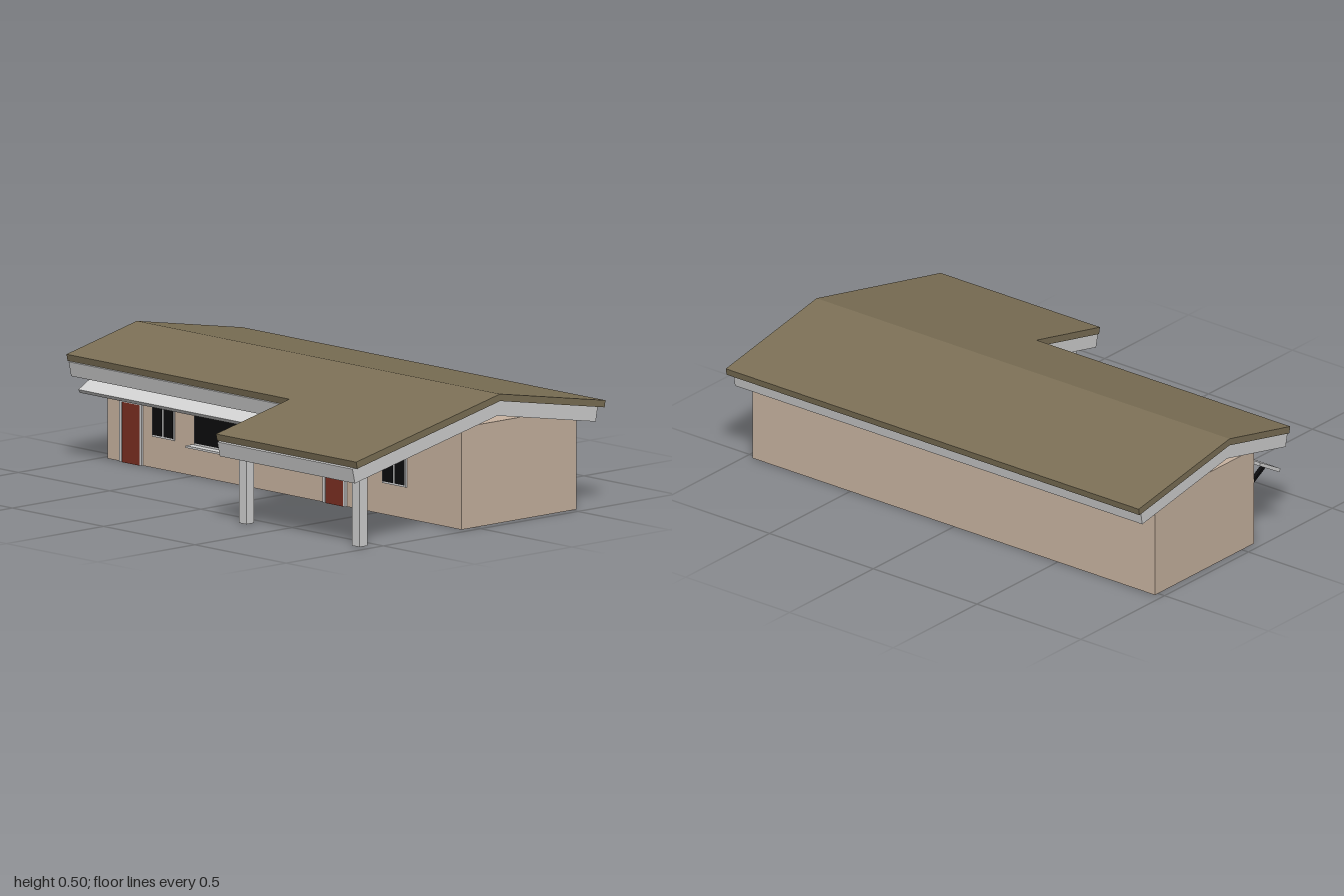
import * as THREE from 'three';

const mat = (name, color, extra = {}) => new THREE.MeshStandardMaterial({ name, color, ...extra });

export function createModel() {
  const roofMat = mat('roofBrown', 0x7c7056);
  const wallMat = mat('wallTan', 0xc9b4a1);
  const trimMat = mat('trimWhite', 0xd2d2d2);
  const doorMat = mat('doorRed', 0x7c2f22);
  const darkMat = mat('glassBlack', 0x0c0c0e);

  const model = new THREE.Group();
  model.name = 'house';

  const add = (name, geometry, material, parent = model) => {
    const mesh = new THREE.Mesh(geometry, material);
    mesh.name = name;
    parent.add(mesh);
    return mesh;
  };
  // Box given by its limits on each axis
  const box = (name, material, x, y, z, parent) => {
    const m = add(name, new THREE.BoxGeometry(x[1] - x[0], y[1] - y[0], z[1] - z[0]), material, parent);
    m.position.set((x[0] + x[1]) / 2, (y[0] + y[1]) / 2, (z[0] + z[1]) / 2);
    return m;
  };
  // Cross-section in x and y, drawn out from z0 to z1
  const prism = (name, material, points, z0, z1, parent) => {
    const shape = new THREE.Shape(points.map(([x, y]) => new THREE.Vector2(x, y)));
    const m = add(name, new THREE.ExtrudeGeometry(shape, { depth: z1 - z0, bevelEnabled: false }), material, parent);
    m.position.z = z0;
    return m;
  };

  // Bent slab under the ridge, with ends cut square to the slopes
  const RIDGE = 0.1, LEFT = 0.22, RIGHT = 0.176;
  const gable = (top, thick, xMin, xMax) => {
    const l = top - LEFT * (RIDGE - xMin), r = top - RIGHT * (xMax - RIDGE);
    return [
      [xMin, l], [xMin + LEFT * thick, l - thick * 0.97], [RIDGE, top - thick],
      [xMax - RIGHT * thick, r - thick * 0.97], [xMax, r], [RIDGE, top],
    ];
  };

  // Roof: narrow rear run and wide front run over the porch
  prism('rearRoof', roofMat, gable(0.5, 0.027, -0.262, 0.642), -0.99, 0.232);
  prism('frontRoof', roofMat, gable(0.5, 0.027, -0.64, 0.642), 0.232, 1);
  prism('rearEaves', trimMat, gable(0.473, 0.058, -0.262, 0.616), -0.978, 0.245);
  prism('frontEaves', trimMat, gable(0.473, 0.058, -0.645, 0.616), 0.245, 0.985);

  // Main walls
  box('walls', wallMat, [-0.07, 0.52], [0, 0.39], [-0.97, 0.97]);

  // Porch posts
  for (const z of [0.32, 0.94]) {
    box('porchPost', trimMat, [-0.585, -0.545], [0, 0.3], [z - 0.02, z + 0.02]);
  }

  // Sloping awning on dark struts along the entrance side
  prism('awning', trimMat, [[-0.192, 0.275], [-0.185, 0.262], [-0.07, 0.328], [-0.07, 0.343]], -1, 0.19);
  for (const z of [-0.96, -0.56, -0.17, 0.16]) {
    prism('awningStrut', darkMat, [[-0.143, 0.288], [-0.07, 0.247], [-0.07, 0.26], [-0.13, 0.295]], z - 0.008, z + 0.008);
  }

  // Doors in white frames
  for (const z of [-0.835, 0.28]) {
    const door = new THREE.Group();
    door.name = 'door';
    model.add(door);
    box('doorPanel', doorMat, [-0.076, -0.03], [-0.001, 0.23], [z - 0.05, z + 0.05], door);
    for (const s of [-1, 1]) {
      const c = z + s * 0.055;
      box('doorJamb', trimMat, [-0.079, -0.065], [0, 0.24], [c - 0.006, c + 0.006], door);
    }
    box('doorHead', trimMat, [-0.079, -0.065], [0.23, 0.24], [z - 0.05, z + 0.05], door);
  }

  // Windows: white frame plates with dark panes
  const makeWindow = (z0, z1, panes, y0) => {
    const group = new THREE.Group();
    group.name = 'window';
    model.add(group);
    box('windowFrame', trimMat, [-0.076, -0.068], [y0, 0.24], [z0, z1], group);
    const step = (z1 - z0) / panes;
    for (let i = 0; i < panes; i++) {
      const a = z0 + i * step;
      box('windowPane', darkMat, [-0.078, -0.07], [y0 + 0.007, 0.233], [a + 0.005, a + step - 0.005], group);
    }
  };
  makeWindow(-0.72, -0.6, 2, 0.12);
  makeWindow(-0.49, -0.23, 1, 0.12);
  makeWindow(-0.14, -0.01, 2, 0.12);
  makeWindow(0.015, 0.145, 2, 0.12);
  makeWindow(0.54, 0.67, 2, 0.12);

  // Counter ledge under the wide window
  box('windowLedge', trimMat, [-0.11, -0.07], [0.112, 0.12], [-0.5, -0.22]);

  return model;
}
